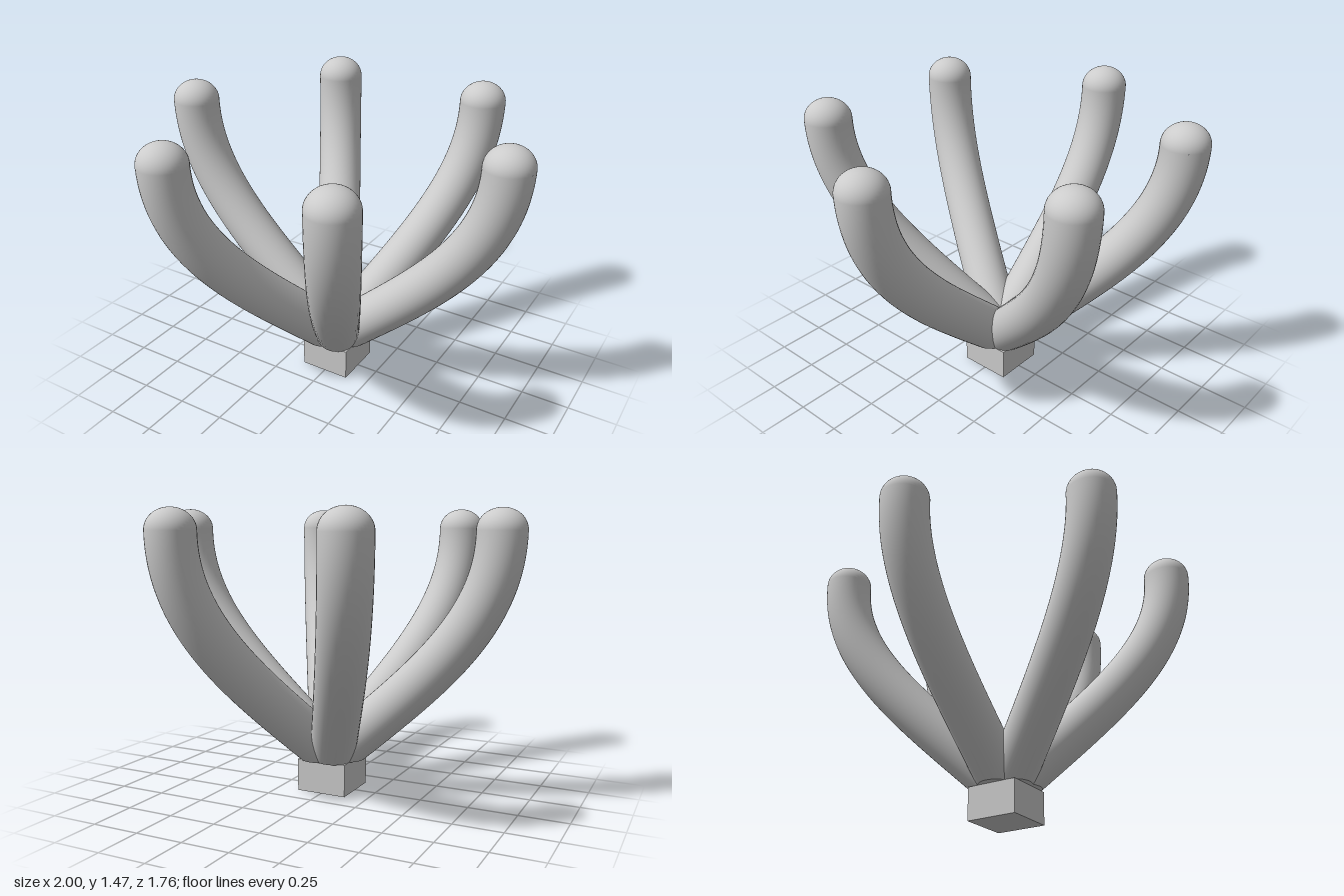
import * as THREE from 'three';

const RADIUS = 0.12;
const BASE_HEIGHT = 0.17;
const TIP = new THREE.Vector3(0.88, 1.365, 0);

export function createModel() {
  const model = new THREE.Group();
  const material = new THREE.MeshStandardMaterial({ color: 0xcccccc });

  const addMesh = (parent, name, geometry) => {
    const mesh = new THREE.Mesh(geometry, material);
    mesh.name = name;
    parent.add(mesh);
    return mesh;
  };

  // Square foot
  const base = addMesh(model, 'base', new THREE.BoxGeometry(0.27, BASE_HEIGHT, 0.27));
  base.position.y = BASE_HEIGHT / 2;

  // Arm centreline: leaves the foot at a slant and bends upright
  const path = new THREE.CubicBezierCurve3(
    new THREE.Vector3(0, BASE_HEIGHT, 0),
    new THREE.Vector3(0.48, 0.6, 0),
    new THREE.Vector3(0.88, 0.9, 0),
    TIP
  );
  const start = path.getTangent(0);

  // Cut the tube level with the foot by sliding low vertices along the slant
  const tube = new THREE.TubeGeometry(path, 64, RADIUS, 40, false);
  const pos = tube.attributes.position;
  for (let i = 0; i < pos.count; i++) {
    const drop = BASE_HEIGHT - pos.getY(i);
    if (drop > 0) pos.setXY(i, pos.getX(i) + (drop * start.x) / start.y, BASE_HEIGHT);
  }

  // Slightly flattened dome for the tip
  const dome = new THREE.SphereGeometry(RADIUS, 40, 14, 0, Math.PI * 2, 0, Math.PI / 2);
  dome.scale(1, 0.88, 1).translate(TIP.x, TIP.y, TIP.z);

  // Flat elliptical underside of the cut
  const underside = new THREE.CircleGeometry(RADIUS, 40);
  underside.rotateX(Math.PI / 2).scale(1 / start.y, 1, 1).translate(0, BASE_HEIGHT, 0);

  // Six arms around the centre
  for (let i = 0; i < 6; i++) {
    const arm = new THREE.Group();
    arm.name = `arm${i + 1}`;
    arm.rotation.y = (i * Math.PI) / 3;
    addMesh(arm, 'armTube', tube);
    addMesh(arm, 'armTip', dome);
    addMesh(arm, 'armUnderside', underside);
    model.add(arm);
  }

  return model;
}
